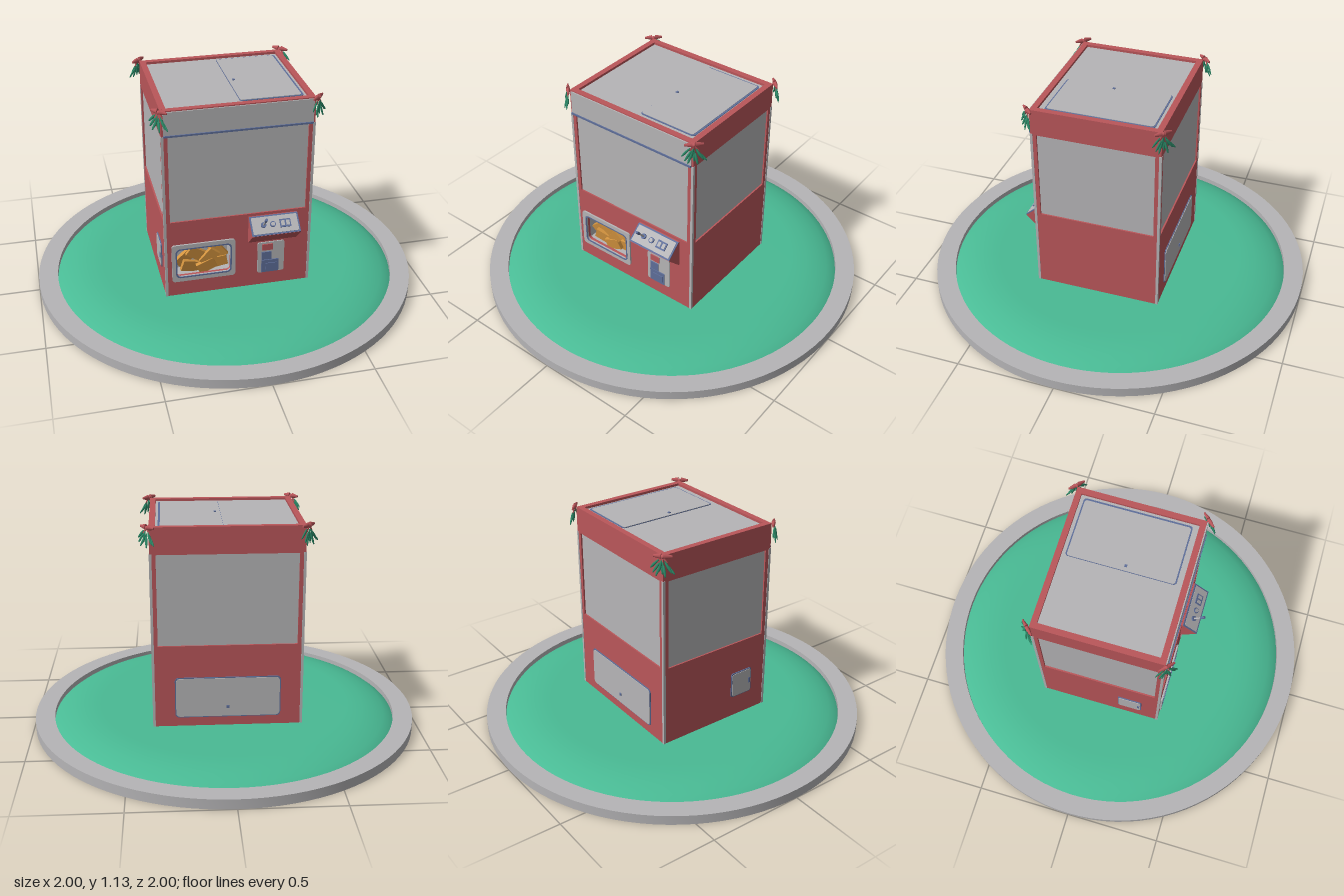
import * as THREE from 'three';
import { toCreasedNormals } from 'three/addons/utils/BufferGeometryUtils.js';

const material = (name, color) => {
  const m = new THREE.MeshStandardMaterial({ color });
  m.name = name;
  return m;
};

// Rounded rectangle, usable as a shape or as a hole
function roundedRect(w, h, r, x = 0, y = 0, Type = THREE.Shape) {
  const s = new Type(), a = w / 2, b = h / 2;
  if (r === 0) {
    return s.moveTo(x - a, y - b).lineTo(x + a, y - b).lineTo(x + a, y + b).lineTo(x - a, y + b).closePath();
  }
  s.absarc(x + a - r, y - b + r, r, -Math.PI / 2, 0);
  s.absarc(x + a - r, y + b - r, r, 0, Math.PI / 2);
  s.absarc(x - a + r, y + b - r, r, Math.PI / 2, Math.PI);
  s.absarc(x - a + r, y - b + r, r, Math.PI, Math.PI * 1.5);
  s.closePath();
  return s;
}
const hole = (w, h, r, x = 0, y = 0) => roundedRect(w, h, r, x, y, THREE.Path);

// Flat panel facing +z, its back at z = 0
function panelGeometry(w, h, r, depth, holes = []) {
  const s = roundedRect(w, h, r);
  s.holes.push(...holes);
  return new THREE.ExtrudeGeometry(s, { depth, bevelEnabled: false, curveSegments: 5 });
}

export function createModel() {
  const red = material('red paint', 0xba565a);
  const grey = material('grey', 0xb6b5b7);
  const green = material('green ground', 0x49ba94);
  const blue = material('slate blue', 0x5f6f9a);
  const orange = material('orange', 0xd4943f);
  const leafGreen = material('leaf green', 0x2c8a68);

  const model = new THREE.Group();
  model.name = 'prizeMachine';
  const add = (parent, name, geometry, mat, x = 0, y = 0, z = 0) => {
    const m = new THREE.Mesh(geometry, mat);
    m.name = name;
    m.position.set(x, y, z);
    parent.add(m);
    return m;
  };
  const group = (parent, name, x = 0, y = 0, z = 0) => {
    const g = new THREE.Group();
    g.name = name;
    g.position.set(x, y, z);
    parent.add(g);
    return g;
  };
  const lathe = pts => new THREE.LatheGeometry(pts.map(p => new THREE.Vector2(...p)), 96);

  // Round base with a low mound
  add(model, 'baseDisc', toCreasedNormals(lathe([[0, 0], [1, 0], [1, 0.05], [0.9, 0.05], [0.9, 0.02]]), 0.6), grey);
  add(model, 'mound', lathe([[0.9, 0.022], [0.88, 0.037], [0.85, 0.051], [0.8, 0.068], [0.74, 0.079], [0.66, 0.085], [0, 0.085]]), green);

  // Cabinet walls, each with a recessed window
  const W = 0.75, D = 0.65, bottom = 0.07, top = 1.115, T = 0.02;
  const H = top - bottom, mid = (top + bottom) / 2, windowH = 0.465, windowY = 0.7475;
  const cabinet = group(model, 'cabinet');
  function wall(name, width, dist, angle, extraHoles = []) {
    const g = group(cabinet, name);
    g.rotation.y = angle;
    const holes = [hole(width - 0.06, windowH, 0, 0, windowY - mid), ...extraHoles];
    add(g, name + 'Frame', panelGeometry(width, H, 0, T, holes), red, 0, mid, dist - T);
    add(g, name + 'Window', new THREE.BoxGeometry(width - 0.05, windowH + 0.01, 0.006), grey, 0, windowY, dist - 0.011);
    return g;
  }
  const front = wall('front', W, D / 2, 0, [hole(0.28, 0.165, 0.02, -0.18, 0.277 - mid)]);
  wall('rightSide', D, W / 2, Math.PI / 2);
  const back = wall('back', W, D / 2, Math.PI);
  const left = wall('leftSide', D, W / 2, -Math.PI / 2);

  // Grey corner trims
  for (const sx of [-1, 1]) for (const sz of [-1, 1]) {
    add(cabinet, 'cornerTrim', new THREE.BoxGeometry(0.013, 0.91, 0.013), grey, sx * 0.3705, 0.53, sz * 0.3205);
  }

  // Roof rim, recessed roof panel and hatch
  const roof = group(cabinet, 'roof', 0, top, 0);
  roof.rotation.x = -Math.PI / 2;
  add(roof, 'roofRim', panelGeometry(W, D, 0, 0.02, [hole(0.69, 0.59, 0)]), red, 0, 0, -0.0195);
  add(roof, 'roofPanel', new THREE.BoxGeometry(0.7, 0.6, 0.006), grey, 0, 0, -0.015);
  add(roof, 'hatchSeam', panelGeometry(0.314, 0.544, 0.015, 0.003), blue, 0.175, 0.005, -0.012);
  add(roof, 'hatch', panelGeometry(0.302, 0.53, 0.012, 0.005), grey, 0.171, 0.005, -0.012);
  add(roof, 'hatchLock', new THREE.BoxGeometry(0.012, 0.012, 0.006), blue, 0.045, -0.015, -0.006);

  // Header sign with a blue lower rail
  add(front, 'headerSign', new THREE.BoxGeometry(0.73, 0.118, 0.006), grey, 0, 1.051, 0.328);
  add(front, 'headerRail', new THREE.BoxGeometry(0.73, 0.009, 0.012), blue, 0, 0.987, 0.33);

  // Prize door: frame, cavity and orange pieces
  const prize = group(front, 'prizeDoor', -0.18, 0.277, 0);
  add(prize, 'prizeFrame', panelGeometry(0.325, 0.215, 0.015, 0.012, [hole(0.275, 0.16, 0.02)]), grey, 0, 0, 0.322);
  add(prize, 'prizeTrim', panelGeometry(0.287, 0.172, 0.024, 0.004, [hole(0.273, 0.158, 0.02)]), blue, 0, 0, 0.331);
  add(prize, 'cavityBack', new THREE.BoxGeometry(0.32, 0.21, 0.006), grey, 0, 0, 0.235);
  for (const s of [-1, 1]) {
    add(prize, 'cavitySide', new THREE.BoxGeometry(0.006, 0.2, 0.08), grey, s * 0.145, 0, 0.27);
    add(prize, 'cavityFloor', new THREE.BoxGeometry(0.29, 0.006, 0.08), grey, 0, s * 0.087, 0.27);
  }
  const pieces = [[-0.09, -0.01, 0.7], [-0.03, 0.02, -0.6], [0.035, 0.0, 0.9], [0.085, 0.015, -0.9],
    [-0.06, -0.05, -0.3], [0.02, -0.05, 0.4], [0.085, -0.05, 0.2]];
  pieces.forEach(([x, y, a], i) => {
    const p = add(prize, 'prizePiece', new THREE.BoxGeometry(0.095, 0.06, 0.02), orange, x, y, 0.27 + (i % 3) * 0.014);
    p.rotation.set(0.1, 0.15 - 0.1 * (i % 4), a);
  });

  // Control console: wedge with a sloped control plate
  const wedge = new THREE.Shape([[0.315, 0.5], [0.315, 0.35], [0.33, 0.35], [0.41, 0.43], [0.33, 0.5]].map(p => new THREE.Vector2(...p)));
  const wedgeGeometry = new THREE.ExtrudeGeometry(wedge, { depth: 0.25, bevelEnabled: false });
  wedgeGeometry.rotateY(-Math.PI / 2);
  add(front, 'console', wedgeGeometry, red, 0.3, 0, 0);
  const controls = group(front, 'controls', 0.175, 0.465, 0.37);
  controls.rotation.x = -Math.atan2(0.08, 0.07);
  add(controls, 'controlPlateEdge', new THREE.BoxGeometry(0.25, 0.104, 0.004), blue, 0, 0, 0.002);
  add(controls, 'controlPlate', new THREE.BoxGeometry(0.234, 0.088, 0.004), grey, 0, 0, 0.004);
  const rod = (name, r, len, mat, x, z) => {
    const m = add(controls, name, new THREE.CylinderGeometry(r, r, len, 16), mat, x, 0, z);
    m.rotation.x = Math.PI / 2;
  };
  rod('joystickCollar', 0.014, 0.01, blue, -0.06, 0.009);
  rod('joystickShaft', 0.0045, 0.075, grey, -0.06, 0.045);
  rod('joystickGrip', 0.007, 0.028, blue, -0.06, 0.078);
  rod('buttonRing', 0.015, 0.008, blue, -0.012, 0.008);
  rod('button', 0.01, 0.014, grey, -0.012, 0.008);
  add(controls, 'displayFrame', new THREE.BoxGeometry(0.056, 0.042, 0.006), blue, 0.052, 0, 0.008);
  for (const x of [0.039, 0.065]) add(controls, 'displayPane', new THREE.BoxGeometry(0.018, 0.026, 0.003), grey, x, 0, 0.011);

  // Coin plate with slots and return cup
  const coin = group(front, 'coinPlate', 0.17, 0.25, 0.325);
  add(coin, 'coinBacking', panelGeometry(0.14, 0.18, 0.01, 0.006), grey);
  add(coin, 'coinSlot', new THREE.BoxGeometry(0.055, 0.035, 0.008), red, -0.02, 0.063, 0.008);
  add(coin, 'coinSelector', new THREE.BoxGeometry(0.05, 0.045, 0.008), blue, -0.024, 0.012, 0.008);
  add(coin, 'returnCupFrame', new THREE.BoxGeometry(0.09, 0.072, 0.008), blue, -0.005, -0.05, 0.008);
  add(coin, 'returnCupFlap', new THREE.BoxGeometry(0.06, 0.04, 0.006), blue, 0, -0.052, 0.013);

  // Service door on the back, small hatch on the left
  add(back, 'serviceDoorEdge', panelGeometry(0.53, 0.215, 0.02, 0.004), blue, 0, 0.24, 0.325);
  add(back, 'serviceDoor', panelGeometry(0.52, 0.205, 0.02, 0.007), grey, 0, 0.24, 0.325);
  add(back, 'serviceLock', new THREE.BoxGeometry(0.014, 0.014, 0.008), blue, 0, 0.19, 0.333);
  add(left, 'sideHatchEdge', panelGeometry(0.13, 0.14, 0.012, 0.005), blue, 0.165, 0.27, 0.375);
  add(left, 'sideHatch', panelGeometry(0.12, 0.13, 0.012, 0.008), grey, 0.165, 0.27, 0.375);
  add(left, 'sideHatchLatch', new THREE.BoxGeometry(0.012, 0.03, 0.006), blue, 0.215, 0.27, 0.383);

  // Bows with hanging sprigs on the four top corners
  const loopGeometry = new THREE.CylinderGeometry(0.007, 0.017, 0.036, 8);
  loopGeometry.rotateZ(Math.PI / 2).scale(1, 0.85, 0.6);
  const leafGeometry = new THREE.SphereGeometry(1, 8, 6);
  leafGeometry.translate(0, -1, 0).scale(0.0065, 0.03, 0.004);
  for (const sx of [-1, 1]) for (const sz of [-1, 1]) {
    const bow = group(model, 'cornerBow', sx * 0.381, 1.115, sz * 0.331);
    bow.rotation.y = Math.atan2(sx, sz);
    add(bow, 'bowKnot', new THREE.SphereGeometry(0.01, 10, 8), red);
    for (const s of [-1, 1]) {
      const loop = add(bow, 'bowLoop', loopGeometry, red, s * 0.026, 0.003, 0);
      loop.rotation.y = s > 0 ? Math.PI : 0;
      const tail = add(bow, 'bowTail', new THREE.BoxGeometry(0.008, 0.03, 0.004), red, s * 0.012, -0.016, 0.004);
      tail.rotation.z = s * 0.6;
    }
    for (let i = 0; i < 9; i++) {
      const t = i / 4 - 1;
      const leaf = add(bow, 'sprigLeaf', leafGeometry, leafGreen, t * 0.017, -0.012 - (i % 3) * 0.012, 0.004 + (i % 2) * 0.005);
      leaf.rotation.set(-0.12 * (i % 3), 0, t * 0.75);
    }
  }
  return model;
}
